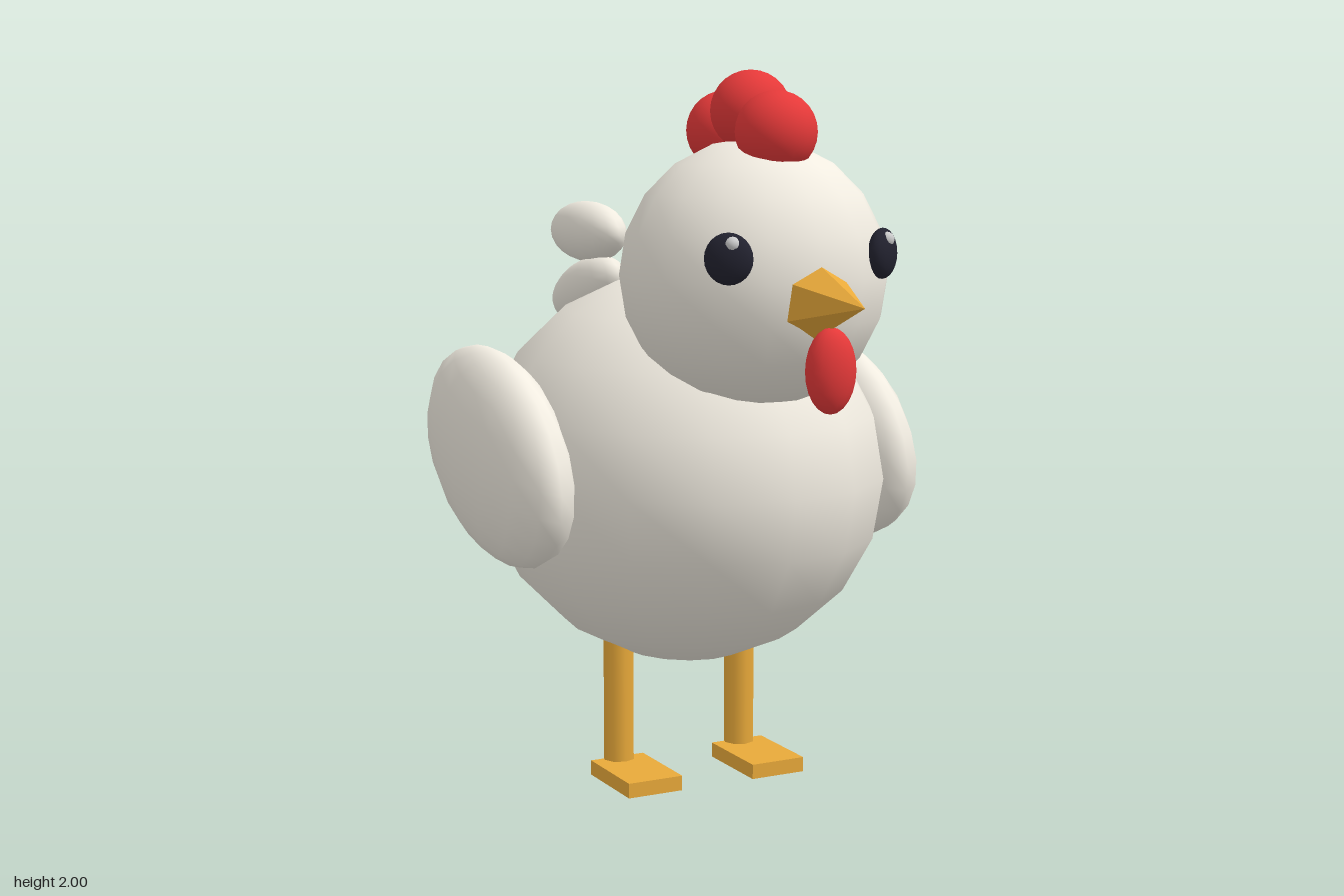
import * as THREE from 'three';

const paint = (color) => new THREE.MeshStandardMaterial({ color });

export function createModel() {
  const hen = new THREE.Group();
  const white = paint(0xf0ebe0), red = paint(0xe53939), orange = paint(0xe8a93a);
  const dark = paint(0x22222f), shine = paint(0xffffff);

  const add = (name, geometry, material, position) => {
    const mesh = new THREE.Mesh(geometry, material);
    mesh.name = name;
    mesh.position.set(...position);
    hen.add(mesh);
    return mesh;
  };
  const ellipsoid = (name, material, position, radii, wide = 16, high = 10) => {
    const mesh = add(name, new THREE.SphereGeometry(1, wide, high), material, position);
    mesh.scale.set(...radii);
    return mesh;
  };

  // Body and head
  ellipsoid('body', white, [0, 0.89, -0.08], [0.55, 0.55, 0.665]);
  ellipsoid('head', white, [0, 1.465, 0.355], [0.358, 0.36, 0.358]);

  // Comb: three balls along the crown
  [[1.84, 0.47], [1.893, 0.333], [1.84, 0.195]].forEach(([y, z], i) =>
    ellipsoid('comb' + (i + 1), red, [0, y, z], [0.108, 0.107, 0.108], 20, 14));

  // Six-sided beak pointing forward, with an edge on top
  const beakGeometry = new THREE.ConeGeometry(0.1, 0.24, 6).rotateX(Math.PI / 2).toNonIndexed();
  beakGeometry.computeVertexNormals();
  add('beak', beakGeometry, orange, [0, 1.42, 0.795]);

  // Wattle under the beak
  ellipsoid('wattle', red, [0, 1.25, 0.755], [0.068, 0.11, 0.053], 16, 12);

  // Tail: three feathers fanned downward
  [[1.522, -0.695, 0], [1.345, -0.693, 0.3], [1.215, -0.683, 0.6]].forEach(([y, z, tilt], i) => {
    const feather = ellipsoid('tailFeather' + (i + 1), white, [0, y, z], [0.08, 0.092, 0.22], 16, 12);
    feather.rotation.x = -tilt;
  });

  // Paired parts
  for (const [side, s] of [['left', 1], ['right', -1]]) {
    const wing = ellipsoid(side + 'Wing', white, [s * 0.532, 0.95, -0.14], [0.132, 0.277, 0.443], 16, 12);
    wing.rotation.x = 0.28;

    const eye = ellipsoid(side + 'Eye', dark, [s * 0.225, 1.53, 0.632], [0.063, 0.066, 0.035], 16, 12);
    eye.rotation.y = s * 0.68;
    ellipsoid(side + 'EyeHighlight', shine, [s * 0.225, 1.567, 0.652], [0.02, 0.02, 0.02], 10, 8);

    add(side + 'Leg', new THREE.CylinderGeometry(0.045, 0.045, 0.45, 8), orange, [s * 0.195, 0.225, -0.083]);
    add(side + 'Foot', new THREE.BoxGeometry(0.165, 0.042, 0.25), orange, [s * 0.195, 0.031, 0.03]);
  }
  return hen;
}
